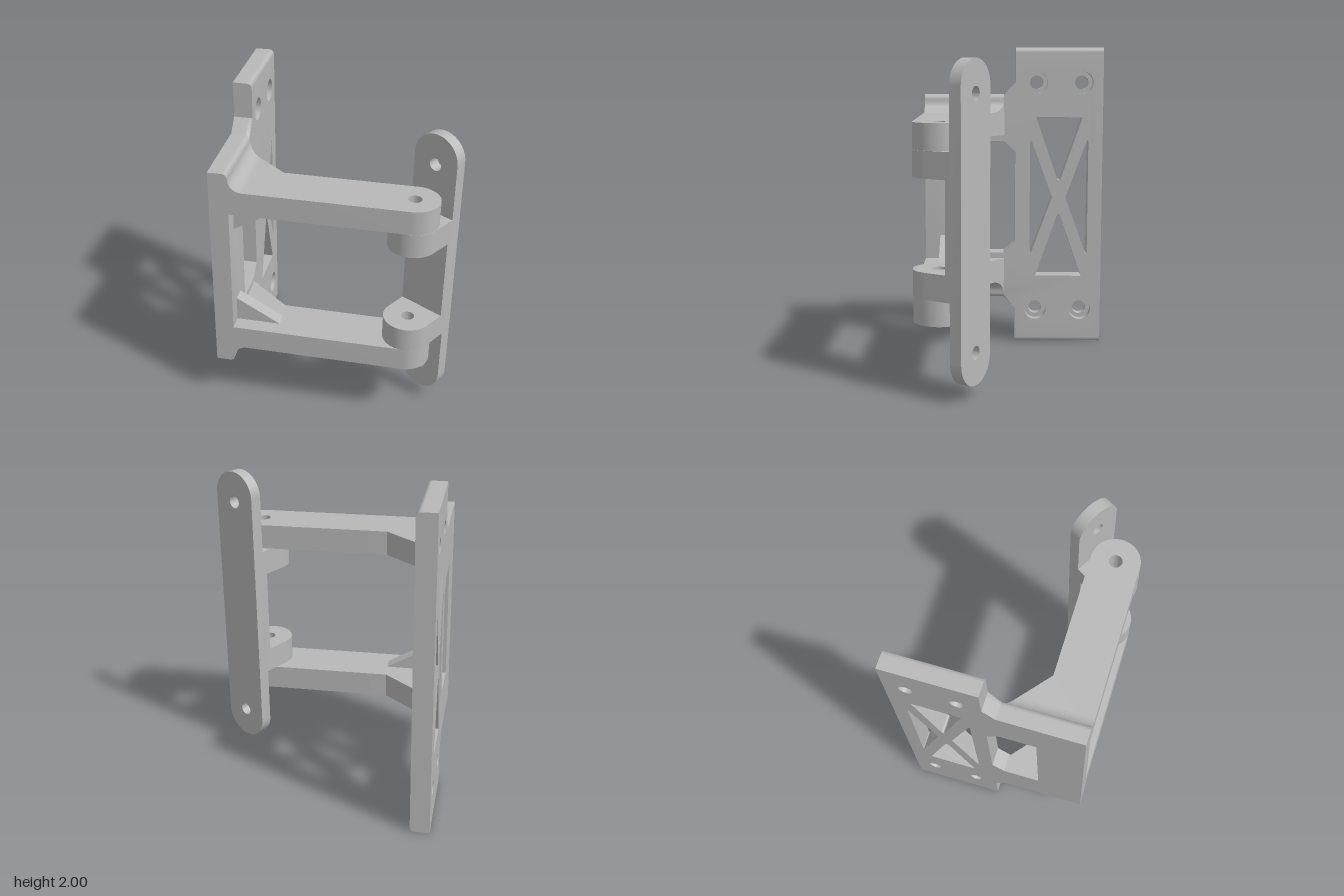
import * as THREE from 'three';
import { toCreasedNormals } from 'three/addons/utils/BufferGeometryUtils.js';

const V = (x, y) => new THREE.Vector2(x, y);

function circle(x, y, r) {
  return new THREE.Path().absarc(x, y, r, 0, Math.PI * 2, false);
}

// Closed polygon whose listed corners are rounded
function roundedPolygon(corners, roundedCorners, cut) {
  const path = new THREE.Path();
  const n = corners.length;
  corners.forEach((c, i) => {
    const first = i === 0;
    if (!roundedCorners.includes(i)) {
      first ? path.moveTo(c.x, c.y) : path.lineTo(c.x, c.y);
      return;
    }
    const toward = (p) => p.clone().sub(c).setLength(cut).add(c);
    const a = toward(corners[(i + n - 1) % n]), b = toward(corners[(i + 1) % n]);
    first ? path.moveTo(a.x, a.y) : path.lineTo(a.x, a.y);
    path.quadraticCurveTo(c.x, c.y, b.x, b.y);
  });
  path.closePath();
  return path;
}

function extrude(shape, depth, steps = 1) {
  return new THREE.ExtrudeGeometry(shape, { depth, steps, bevelEnabled: false, curveSegments: 20 });
}

function moveVertices(geometry, rule) {
  const p = geometry.attributes.position, v = new THREE.Vector3();
  for (let i = 0; i < p.count; i++) {
    rule(v.fromBufferAttribute(p, i));
    p.setXYZ(i, v.x, v.y, v.z);
  }
  return geometry;
}

export function createModel() {
  const grey = new THREE.MeshStandardMaterial({ color: 0xb8b8b8 });
  grey.name = 'grey';
  const model = new THREE.Group();
  model.name = 'hingedBracket';

  function add(parent, name, geometry) {
    const mesh = new THREE.Mesh(toCreasedNormals(geometry, 0.5), grey);
    mesh.name = name;
    parent.add(mesh);
    return mesh;
  }

  // Angled half: x runs along the plate, z out of its front face
  const base = new THREE.Group();
  base.name = 'angledBase';
  base.position.set(-0.478, 0, -0.147);
  base.rotation.y = 0.541;
  model.add(base);

  // Plate outline, narrow on the left and wide on the right
  function plateShape(holeRadius) {
    const shape = new THREE.Shape([
      V(0, 0.31), V(0.53, 0.31), V(0.607, 0.23), V(0.607, 0), V(1.19, 0),
      V(1.19, 2), V(0.607, 2), V(0.607, 1.77), V(0.53, 1.69), V(0, 1.69)]);
    // Window with clipped corners
    shape.holes.push(new THREE.Path([
      V(0.295, 0.62), V(0.53, 0.62), V(0.606, 0.69),
      V(0.606, 1.31), V(0.53, 1.38), V(0.295, 1.38)]));
    // Four openings that leave a crossed brace
    const mid = 0.9;
    for (const k of [-1, 1]) {
      shape.holes.push(roundedPolygon(
        [V(mid - 0.155, 1 + k * 0.54), V(mid + 0.155, 1 + k * 0.54), V(mid, 1 + k * 0.09)], [2], 0.05));
      shape.holes.push(roundedPolygon(
        [V(mid + k * 0.195, 1.41), V(mid + k * 0.195, 0.59), V(mid + k * 0.045, 1)], [0, 1], 0.05));
    }
    for (const x of [0.748, 1.05])
      for (const y of [0.23, 1.77]) shape.holes.push(circle(x, y, holeRadius));
    return shape;
  }
  add(base, 'plateBack', extrude(plateShape(0.045), 0.06).translate(0, 0, -0.12));

  // Front layer has counterbores and rounded top and bottom front edges
  const r = 0.03;
  const front = extrude(plateShape(0.073), 0.06, 10).translate(0, 0, -0.06);
  moveVertices(front, (v) => {
    const d = Math.min(r, Math.max(0, v.z + r));
    const inset = r - Math.sqrt(r * r - d * d);
    const edge = [0, 0.31, 1.69, 2].some((y) => Math.abs(v.y - y) < 1e-4);
    if (edge) v.y += v.y > 1 ? -inset : inset;
  });
  add(base, 'plateFront', front);

  // Arm outline seen from above, with a pivot hole
  const pivot = 1.09, armRadius = 0.153;
  const arm = new THREE.Shape();
  arm.moveTo(0, 0);
  arm.lineTo(0, -pivot);
  arm.absarc(armRadius, -pivot, armRadius, Math.PI, Math.PI * 2, false);
  arm.lineTo(armRadius * 2, -0.271);
  arm.lineTo(0.533, 0);
  arm.holes.push(circle(armRadius, -pivot, 0.042));

  // Lug outline seen from above: round end joined to the swivel plate
  const cx = 0.215, cz = 0.712;
  const lug = new THREE.Shape();
  lug.moveTo(0.39, -cz + armRadius);
  lug.lineTo(cx, -cz + armRadius);
  lug.absarc(cx, -cz, armRadius, Math.PI / 2, Math.PI * 1.5, false);
  lug.lineTo(0.39, -cz - armRadius);
  lug.holes.push(circle(cx, -cz, 0.042));

  for (const [side, k] of [['upper', 1], ['lower', -1]]) {
    const Y = (y) => 1 + k * (y - 1);
    const slab = (shape, y0, y1) =>
      extrude(shape, y1 - y0).rotateX(-Math.PI / 2).translate(0, Math.min(Y(y0), Y(y1)), 0);

    add(base, side + 'Arm', slab(arm, 1.42, 1.573));

    // Concave blend between plate and arm, trimmed to the arm's slanted edge
    const blend = [V(0, Y(1.57))];
    for (let i = 0; i <= 10; i++) {
      const a = (i / 10) * Math.PI / 2;
      blend.push(V(0.085 - 0.085 * Math.sin(a), Y(1.658 - 0.085 * Math.cos(a))));
    }
    const fillet = extrude(new THREE.Shape(blend), 0.53).rotateY(-Math.PI / 2).translate(0.53, 0, 0);
    add(base, side + 'Fillet', moveVertices(fillet, (v) => { if (v.x > 0.3) v.x -= 0.856 * v.z; }));

    // Triangular brace on the inner side of the arm
    const triangle = new THREE.Shape([V(0, Y(1.26)), V(0.28, Y(1.42)), V(0, Y(1.42))]);
    add(base, side + 'Gusset', extrude(triangle, 0.09).rotateY(-Math.PI / 2).translate(0.19, 0, 0));

    add(model, side + 'Lug', slab(lug, 1.265, 1.42));
  }

  // Swivel plate with rounded ends and two screw holes
  const strap = new THREE.Shape();
  strap.moveTo(cz + armRadius, 0.235);
  strap.lineTo(cz + armRadius, 1.775);
  strap.absarc(cz, 1.775, armRadius, 0, Math.PI, false);
  strap.lineTo(cz - armRadius, 0.235);
  strap.absarc(cz, 0.235, armRadius, Math.PI, Math.PI * 2, false);
  for (const y of [0.272, 1.735]) strap.holes.push(circle(cz, y, 0.04));
  add(model, 'swivelPlate', extrude(strap, 0.075).rotateY(-Math.PI / 2).translate(0.46, 0, 0));

  // Thickened web between the lugs
  add(model, 'lugWeb', new THREE.BoxGeometry(0.03, 0.54, armRadius * 2).translate(0.371, 1.005, cz));

  return model;
}
